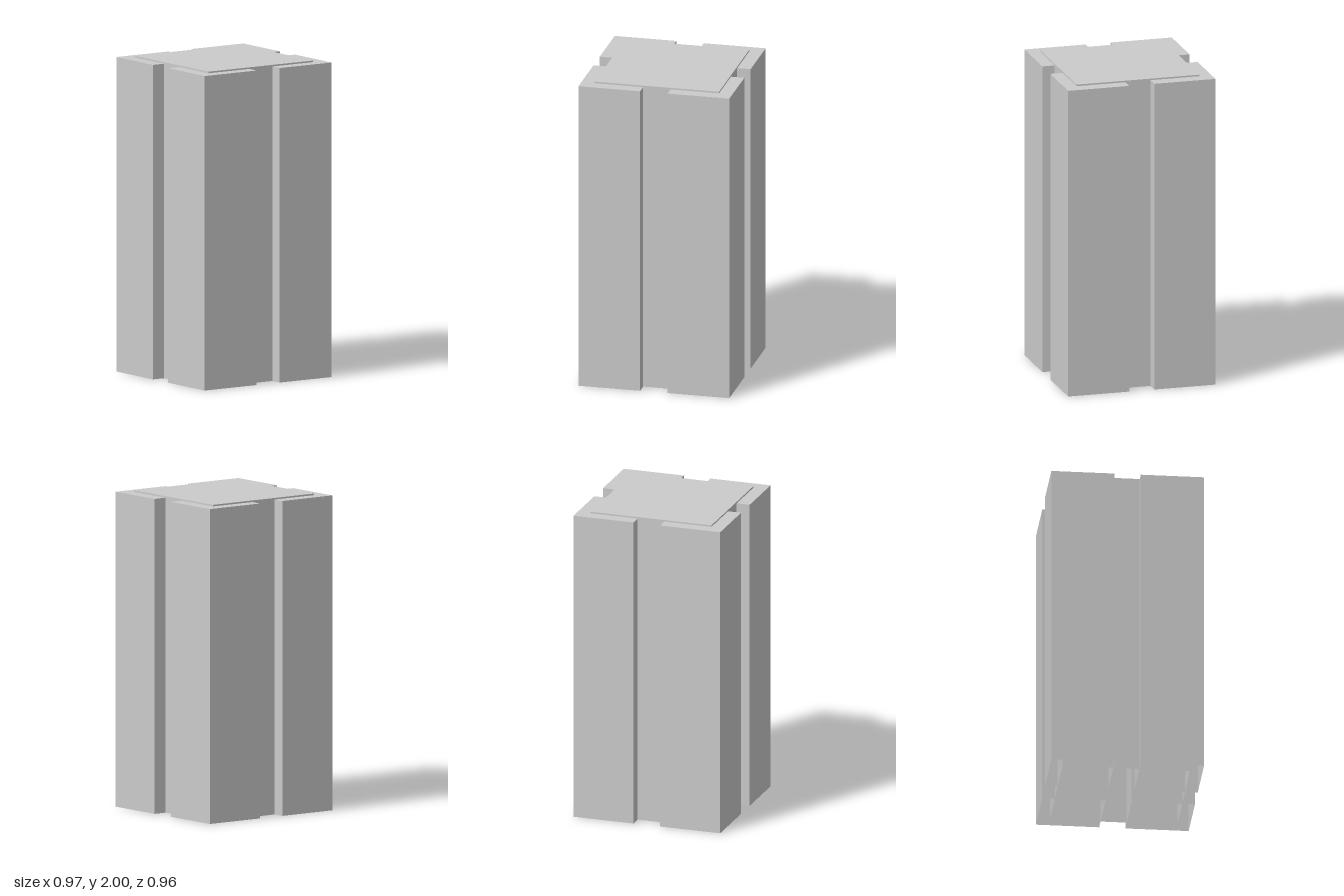
import * as THREE from 'three';

const material = new THREE.MeshStandardMaterial({ color: 0xcccccc, side: THREE.DoubleSide });

// Box standing on y = 0 with its bottom left open
function openBox(name, width, height, depth, x, z) {
  const geometry = new THREE.BoxGeometry(width, height, depth);
  const index = Array.from(geometry.index.array);
  index.splice(18, 6); // remove the bottom face
  geometry.setIndex(index);
  geometry.clearGroups();
  geometry.translate(x, height / 2, z);
  const mesh = new THREE.Mesh(geometry, material);
  mesh.name = name;
  return mesh;
}

export function createModel() {
  const model = new THREE.Group();
  model.name = 'pillar';

  // Square core, rising slightly above the corners
  model.add(openBox('core', 0.8, 2, 0.8, 0, 0));

  // Four corner posts with grooves between them
  for (const sx of [1, -1]) {
    for (const sz of [1, -1]) {
      const name = (sz > 0 ? 'front' : 'back') + (sx > 0 ? 'Left' : 'Right') + 'Post';
      model.add(openBox(name, 0.398, 1.99, 0.398, sx * 0.287, sz * 0.281));
    }
  }
  return model;
}
